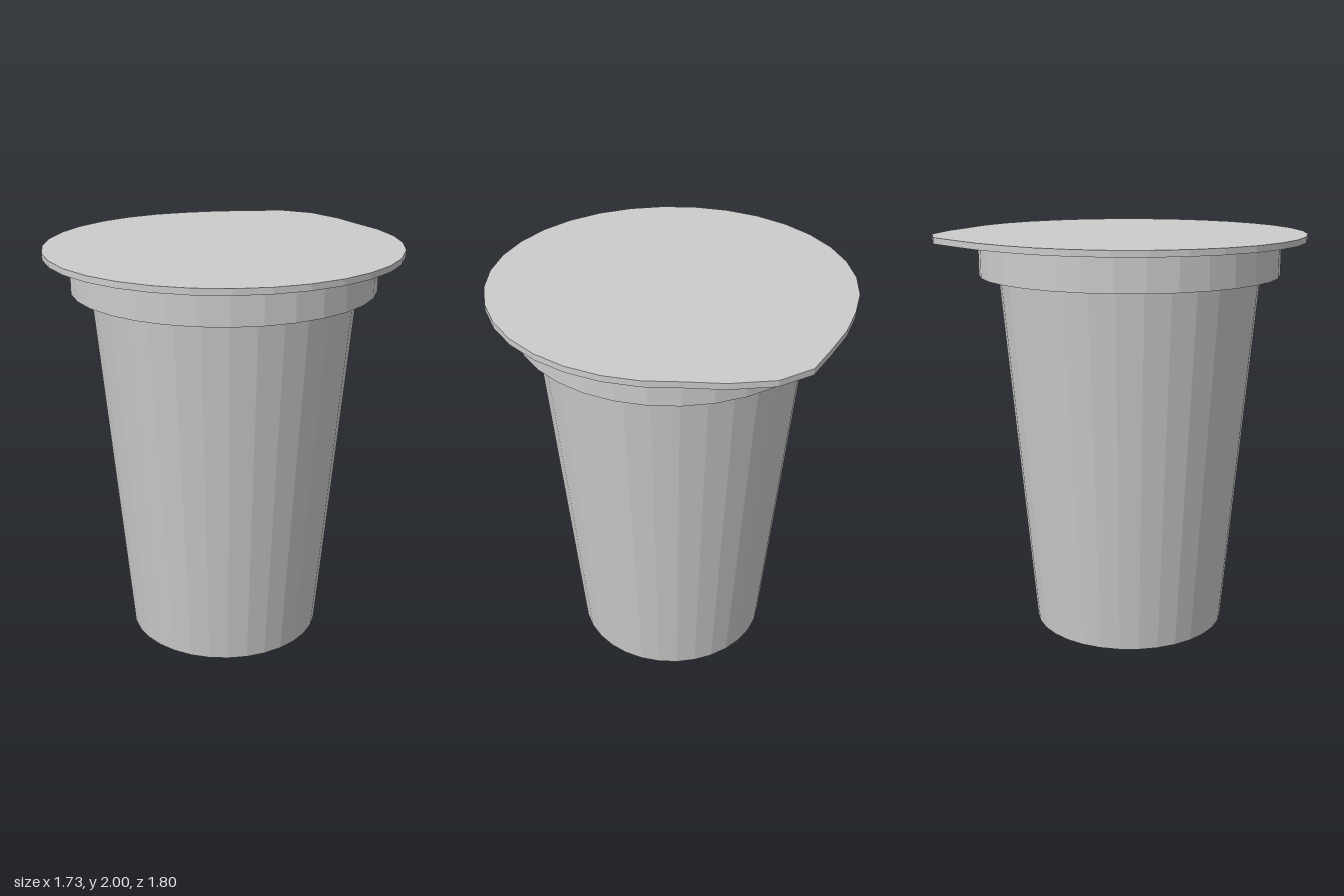
import * as THREE from 'three';

const SIDES = 32;
const CENTRE_Z = 0.035;

export function createModel() {
  const group = new THREE.Group();
  const material = new THREE.MeshStandardMaterial({ color: 0xcccccc, flatShading: true, side: THREE.DoubleSide });

  const add = (name, geometry, y) => {
    const mesh = new THREE.Mesh(geometry, material);
    mesh.name = name;
    mesh.position.set(0, y, CENTRE_Z);
    group.add(mesh);
  };

  // Tapered cup with a stepped rim, closed underneath
  const profile = [[0, 0], [0.485, 0], [0.645, 1.8], [0.74, 1.8], [0.74, 1.97]]
    .map(([r, y]) => new THREE.Vector2(r, y));
  add('cup', new THREE.LatheGeometry(profile, SIDES), 0);

  // Flat lid: a disc whose radius swells into a pull tab at the back
  const tabRadius = { 16: 0.905, 17: 0.957, 18: 0.961, 19: 0.906, 20: 0.88 };
  const tabAngle = { 17: 0.02, 18: 0.01 };
  const outline = [];
  for (let i = 0; i < SIDES; i++) {
    const a = (i / SIDES) * Math.PI * 2 + (tabAngle[i] ?? 0);
    const r = tabRadius[i] ?? 0.865;
    outline.push(new THREE.Vector2(Math.sin(a) * r, Math.cos(a) * r));
  }
  const lid = new THREE.ExtrudeGeometry(new THREE.Shape(outline), { depth: 0.03, bevelEnabled: false });
  lid.rotateX(Math.PI / 2);
  add('lid', lid, 2);

  return group;
}
